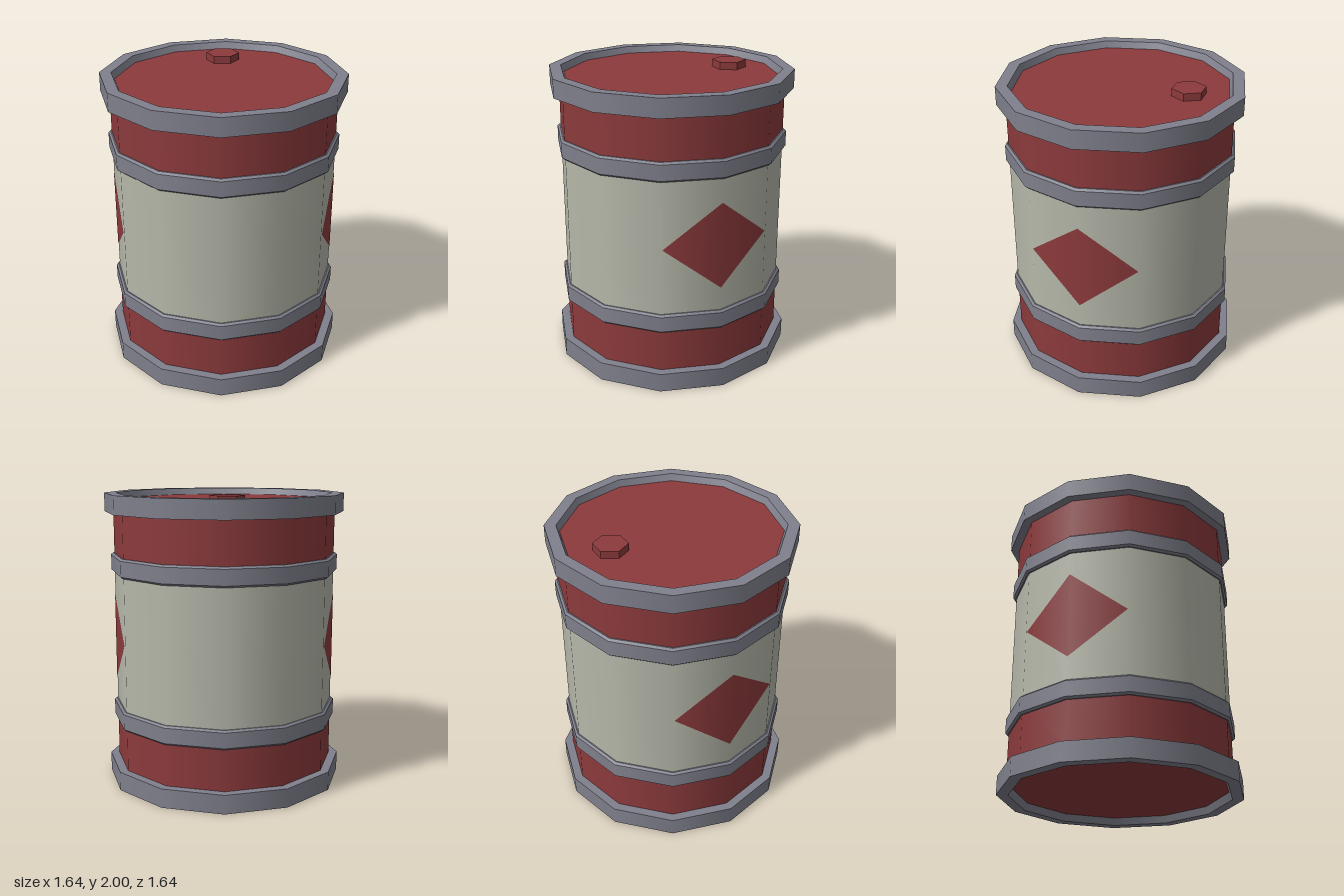
import * as THREE from 'three';
import { mergeGeometries } from 'three/addons/utils/BufferGeometryUtils.js';

const SIDES = 12;
const red = new THREE.MeshStandardMaterial({ color: 0x8c3a3c });
red.name = 'red paint';
const grey = new THREE.MeshStandardMaterial({ color: 0x7f808c });
grey.name = 'grey metal';
const cream = new THREE.MeshStandardMaterial({ color: 0xb6b8aa });
cream.name = 'cream paint';

// Turned shape, smooth around the axis and sharp between profile steps
function turned(profile) {
  const strips = [];
  for (let i = 0; i + 1 < profile.length; i++) {
    const pair = [profile[i], profile[i + 1]].map(([r, y]) => new THREE.Vector2(r, y));
    strips.push(new THREE.LatheGeometry(pair, SIDES));
  }
  return mergeGeometries(strips);
}

// Diamond folded over the corner edge that faces +x
function diamondGeometry() {
  const r = 0.763, x = r * Math.cos(Math.PI / 6) + 0.004, z = 0.371;
  const g = new THREE.BufferGeometry();
  g.setAttribute('position', new THREE.Float32BufferAttribute([
    r, 0.705, 0, r, 1.295, 0, x, 1, z,
    r, 0.705, 0, x, 1, -z, r, 1.295, 0,
  ], 3));
  // Normals follow the round wall
  const n = [1, 0, 0], c = Math.cos(Math.PI / 6), s = 0.5;
  g.setAttribute('normal', new THREE.Float32BufferAttribute(
    [...n, ...n, c, 0, s, ...n, c, 0, -s, ...n], 3));
  return g;
}

export function createModel() {
  const model = new THREE.Group();
  model.name = 'barrel';
  const add = (name, geometry, material) => {
    const mesh = new THREE.Mesh(geometry, material);
    mesh.name = name;
    model.add(mesh);
    return mesh;
  };

  // Painted wall
  const wall = (y0, y1) => turned([[0.76, y0], [0.76, y1]]);
  add('lowerWall', wall(0.13, 0.48), red);
  add('middleWall', wall(0.48, 1.52), cream);
  add('upperWall', wall(1.52, 1.87), red);

  // Bevelled hoops
  for (const [name, y] of [['lowerHoop', 0.48], ['upperHoop', 1.52]]) {
    add(name, turned([
      [0.755, y - 0.065], [0.768, y - 0.065], [0.783, y - 0.052],
      [0.783, y + 0.052], [0.768, y + 0.065], [0.755, y + 0.065],
    ]), grey);
  }

  // Rims with sloped inner lips
  add('bottomRim', turned([
    [0.722, 0.05], [0.742, 0], [0.82, 0], [0.82, 0.13], [0.755, 0.13],
  ]), grey);
  add('topRim', turned([
    [0.755, 1.87], [0.82, 1.87], [0.82, 1.995], [0.742, 1.995], [0.722, 1.95],
  ]), grey);

  // Recessed ends
  add('bottomEnd', turned([[0, 0.05], [0.724, 0.05]]), red);
  add('lid', turned([[0.724, 1.95], [0, 1.95]]), red);

  // Hexagonal filler cap
  const capGeometry = new THREE.CylinderGeometry(0.114, 0.114, 0.06, 6, 1, false, Math.PI / 2).toNonIndexed();
  capGeometry.computeVertexNormals();
  add('fillerCap', capGeometry, red).position.set(-0.017, 1.97, -0.45);

  // Side diamonds
  add('leftDiamond', diamondGeometry(), red);
  add('rightDiamond', diamondGeometry(), red).rotation.y = Math.PI;

  return model;
}
